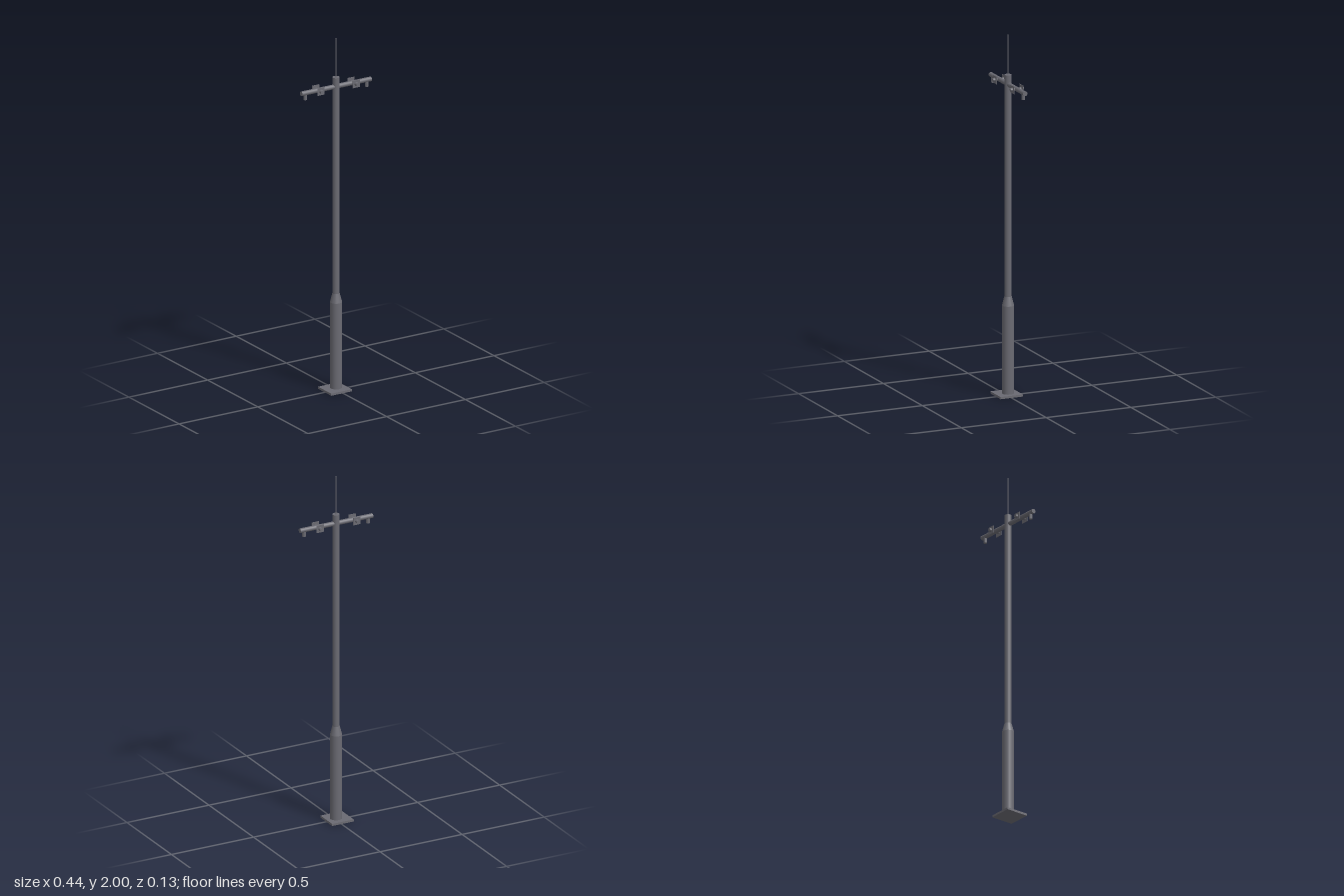
import * as THREE from 'three';

export function createModel() {
  const model = new THREE.Group();
  const steel = new THREE.MeshStandardMaterial({ color: 0x6a6a72 });
  steel.name = 'grey steel';
  const Z = -0.005; // axis of pole and arm
  const ARM_Y = 1.727;

  function add(name, geometry, x, y, z, parent = model) {
    const mesh = new THREE.Mesh(geometry, steel);
    mesh.name = name;
    mesh.position.set(x, y, z);
    parent.add(mesh);
    return mesh;
  }
  const rod = (rTop, rBottom, h, sides = 16) => new THREE.CylinderGeometry(rTop, rBottom, h, sides);

  // Base plate, slightly off the pole axis
  add('basePlate', new THREE.BoxGeometry(0.132, 0.012, 0.132), -0.009, 0.006, -0.001);

  // Stepped pole
  add('lowerPole', rod(0.033, 0.033, 0.49), 0, 0.255, Z);
  add('poleTaper', rod(0.02, 0.033, 0.05), 0, 0.525, Z);
  add('upperPole', rod(0.02, 0.02, 1.23), 0, 1.165, Z);
  add('antenna', rod(0.004, 0.004, 0.22, 8), 0, 1.89, Z);

  // Cross arm
  add('crossArm', rod(0.013, 0.013, 0.442), 0, ARM_Y, Z).rotation.z = Math.PI / 2;

  for (const side of [-1, 1]) {
    // Small fitting hanging under each arm end
    add('hangingFitting', rod(0.01, 0.01, 0.034, 12), side * 0.195, 1.706, Z);

    // Double-sided bracket with square plates and tapered caps
    const bracket = new THREE.Group();
    bracket.name = 'bracket';
    bracket.position.set(side * 0.112, ARM_Y, Z - 0.001);
    model.add(bracket);
    add('bracketRod', rod(0.008, 0.008, 0.052, 12), 0, 0, 0, bracket).rotation.x = Math.PI / 2;
    for (const face of [-1, 1]) {
      add('bracketPlate', new THREE.BoxGeometry(0.044, 0.042, 0.003), 0, 0, face * 0.026, bracket);
      add('bracketCap', rod(0.008, 0.011, 0.013, 12), 0, 0, face * 0.033, bracket).rotation.x = face * Math.PI / 2;
    }
  }
  return model;
}
